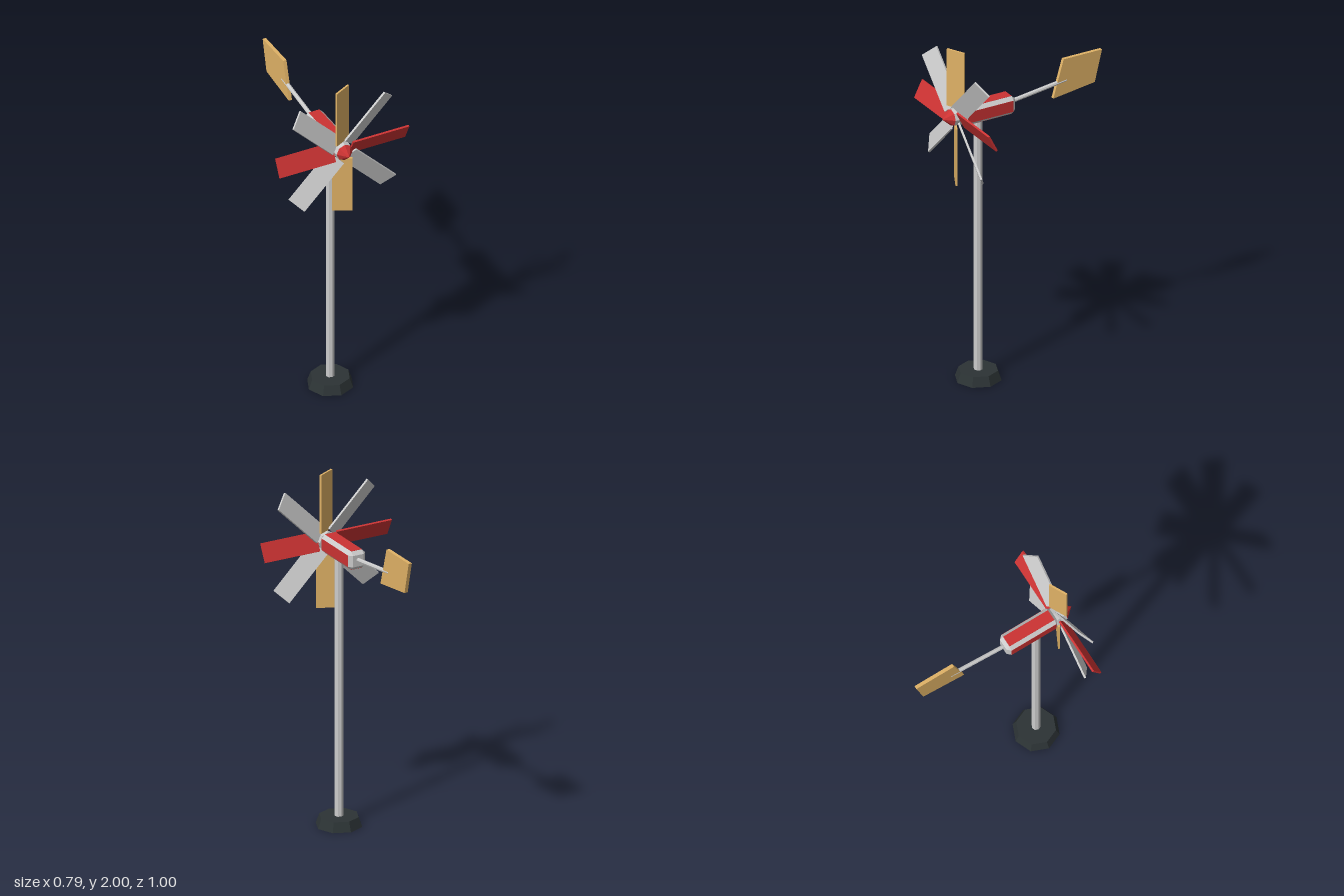
import * as THREE from 'three';
import { ConvexGeometry } from 'three/addons/geometries/ConvexGeometry.js';

const mat = (color) => new THREE.MeshStandardMaterial({ color, flatShading: true });

export function createModel() {
  const model = new THREE.Group();
  model.name = 'windmill';
  const grey = mat(0xcccccc), red = mat(0xcc3333), tan = mat(0xe0b266), dark = mat(0x2c3335);
  const axisY = 1.607, poleZ = 0.27;

  function add(name, geometry, material, x = 0, y = 0, z = 0, parent = model) {
    const mesh = new THREE.Mesh(geometry, material);
    mesh.name = name;
    mesh.position.set(x, y, z);
    parent.add(mesh);
    return mesh;
  }

  // Octagonal foot with a socket for the pole
  const footProfile = [[0.024, 0], [0.13, 0], [0.11, 0.055], [0.024, 0.055]];
  add('foot', new THREE.LatheGeometry(footProfile.map((p) => new THREE.Vector2(...p)), 8), dark, 0, 0, poleZ);
  add('pole', new THREE.CylinderGeometry(0.025, 0.025, 1.555, 8), grey, 0, 0.7825, poleZ);

  // Body: a box with every edge bevelled, plus red panels on its four long sides
  const corners = [];
  const half = [0.053, 0.053, 0.163], bevel = 0.02;
  for (const sx of [-1, 1]) for (const sy of [-1, 1]) for (const sz of [-1, 1]) {
    for (let full = 0; full < 3; full++) {
      const p = [sx, sy, sz].map((s, i) => s * (half[i] - (i === full ? 0 : bevel)));
      corners.push(new THREE.Vector3(...p));
    }
  }
  const bodyZ = 0.223;
  add('body', new ConvexGeometry(corners), grey, 0, axisY, bodyZ);
  add('bodyPanelsTopBottom', new THREE.BoxGeometry(0.066, 0.108, 0.286), red, 0, axisY, bodyZ);
  add('bodyPanelsSides', new THREE.BoxGeometry(0.108, 0.066, 0.286), red, 0, axisY, bodyZ);

  // Rotor: hub, nose cone and eight pitched blades
  const rotor = new THREE.Group();
  rotor.name = 'rotor';
  rotor.position.set(0, axisY, 0.41);
  model.add(rotor);
  add('hub', new THREE.CylinderGeometry(0.048, 0.055, 0.06, 8).rotateX(Math.PI / 2), grey, 0, 0, 0, rotor);
  add('noseCone', new THREE.ConeGeometry(0.049, 0.055, 8).rotateX(Math.PI / 2), red, 0, 0, 0.0575, rotor);

  const bladeGeometry = new THREE.BoxGeometry(0.11, 0.34, 0.011);
  bladeGeometry.rotateY(THREE.MathUtils.degToRad(27)).translate(0, 0.223, 0);
  const bladeColors = [tan, grey, red, grey];
  for (let i = 0; i < 8; i++) {
    add('blade', bladeGeometry, bladeColors[i % 4], 0, 0, 0, rotor).rotation.z = (i * Math.PI) / 4;
  }

  // Tail boom, rising slightly towards the back
  const boomPath = new THREE.LineCurve3(new THREE.Vector3(0, 1.607, 0.09), new THREE.Vector3(0, 1.655, -0.28));
  add('tailBoom', new THREE.TubeGeometry(boomPath, 1, 0.012, 8), grey);

  // Tail vane: a slanted plate, drawn in (-z, y) and turned to lie along the boom
  const vane = new THREE.Shape([[0.195, 1.565], [0.455, 1.6], [0.5, 1.785], [0.26, 1.785]]
    .map((p) => new THREE.Vector2(...p)));
  const vaneGeometry = new THREE.ExtrudeGeometry(vane, { depth: 0.02, bevelEnabled: false });
  add('tailVane', vaneGeometry.translate(0, 0, -0.01).rotateY(Math.PI / 2), tan);

  return model;
}
